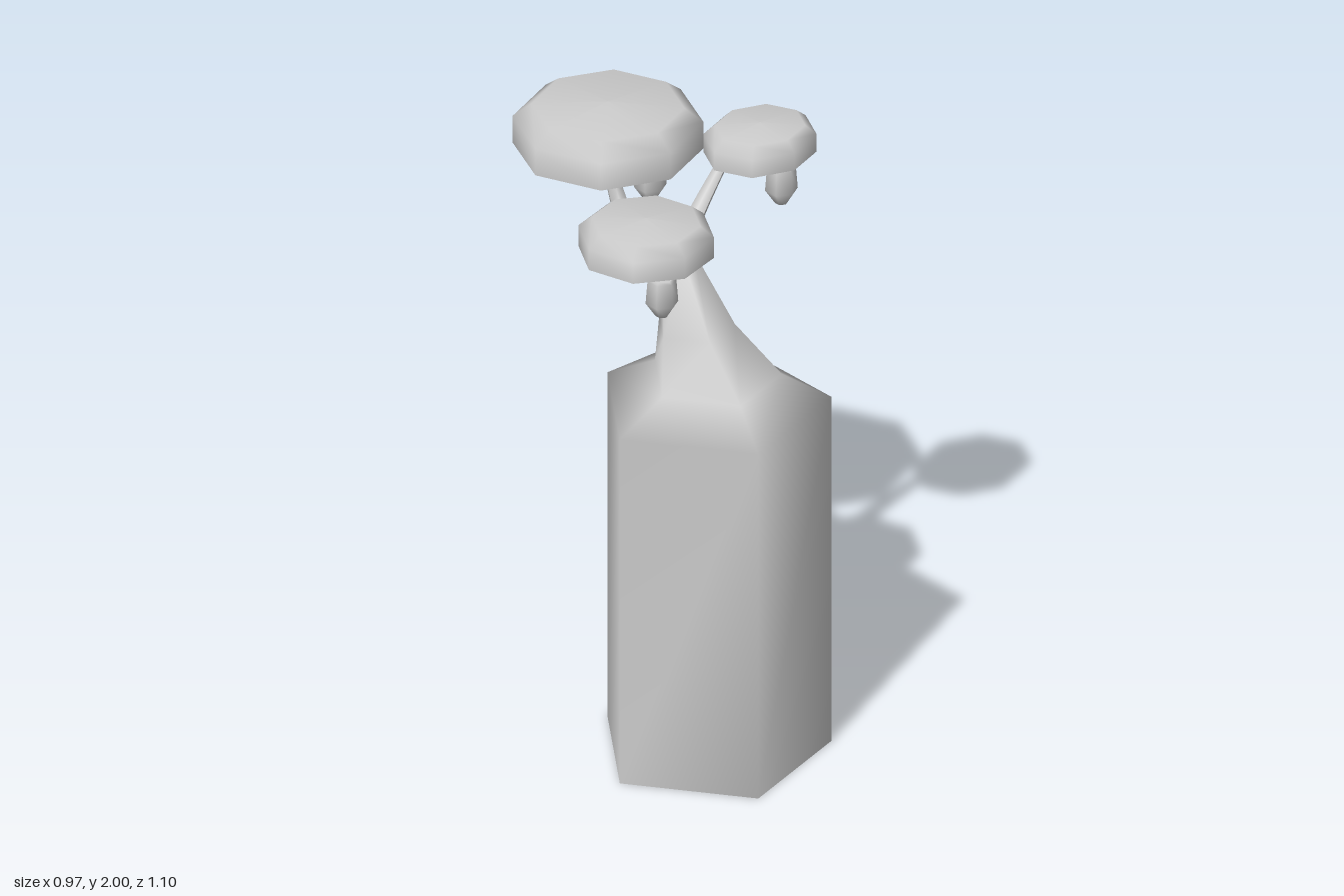
import * as THREE from 'three';

const material = new THREE.MeshStandardMaterial({ color: 0xcccccc, side: THREE.DoubleSide });

function addMesh(parent, name, geometry) {
  const mesh = new THREE.Mesh(geometry, material);
  mesh.name = name;
  parent.add(mesh);
  return mesh;
}

// Bottle-shaped trunk: rings of [y, centre x, centre z, radius], open at the base
function trunkGeometry() {
  const angles = [36, 108, 180, 252, 288, 324].map(THREE.MathUtils.degToRad);
  const rings = [
    [0, -0.028, 0.19, 0.362],
    [1.17, -0.028, 0.19, 0.362],
    [1.27, -0.04, 0.215, 0.205],
    [1.4, -0.03, 0.115, 0.122],
    [1.61, -0.02, 0.025, 0.05],
    [1.62, -0.02, 0.025, 0.002],
  ];
  const n = angles.length, positions = [], index = [];
  rings.forEach(([y, cx, cz, r], i) => {
    angles.forEach((a, j) => {
      positions.push(cx + r * Math.cos(a), y, cz + r * Math.sin(a));
      if (i === rings.length - 1) return;
      const p = i * n + j, q = i * n + (j + 1) % n;
      index.push(p, p + n, q, q, p + n, q + n);
    });
  });
  const geometry = new THREE.BufferGeometry();
  geometry.setAttribute('position', new THREE.Float32BufferAttribute(positions, 3));
  geometry.setIndex(index);
  geometry.computeVertexNormals();
  return geometry;
}

// Tube that narrows from r0 to r1 along its path
function branchGeometry(points, r0, r1) {
  const segments = 8, sides = 6;
  const curve = new THREE.CatmullRomCurve3(points.map(p => new THREE.Vector3(...p)));
  const geometry = new THREE.TubeGeometry(curve, segments, r0, sides);
  const pos = geometry.attributes.position, v = new THREE.Vector3();
  for (let i = 0; i < pos.count; i++) {
    const t = Math.floor(i / (sides + 1)) / segments;
    const centre = curve.getPointAt(t);
    v.fromBufferAttribute(pos, i).sub(centre).multiplyScalar(1 + t * (r1 / r0 - 1)).add(centre);
    pos.setXYZ(i, v.x, v.y, v.z);
  }
  geometry.computeVertexNormals();
  return geometry;
}

const lathe = (profile, sides) =>
  new THREE.LatheGeometry(profile.map(([r, y]) => new THREE.Vector2(r, y)), sides);

export function createModel() {
  const model = new THREE.Group();
  model.name = 'bottleTree';
  addMesh(model, 'trunk', trunkGeometry());

  const limbs = [
    {
      name: 'back', at: [-0.027, 1.85, -0.282], rx: 0.288, rz: 0.251 / 0.88, height: 0.15, turn: 0,
      path: [[-0.02, 1.55, 0.0], [-0.03, 1.57, -0.07], [-0.03, 1.61, -0.17], [-0.03, 1.68, -0.23], [-0.03, 1.91, -0.29]],
      r: 0.045, pod: [-0.035, 1.75, -0.08],
    },
    {
      name: 'right', at: [-0.277, 1.765, 0.18], rx: 0.207, rz: 0.207, height: 0.115, turn: -0.12,
      path: [[-0.01, 1.56, 0.02], [-0.07, 1.61, 0.05], [-0.14, 1.68, 0.09], [-0.23, 1.83, 0.16]],
      r: 0.036, pod: [-0.31, 1.6, 0.29],
    },
    {
      name: 'left', at: [0.303, 1.84, 0.032], rx: 0.181, rz: 0.157, height: 0.1, turn: 0,
      path: [[-0.02, 1.57, 0.0], [0.06, 1.62, -0.025], [0.13, 1.7, -0.035], [0.27, 1.89, -0.03]],
      r: 0.036, pod: [0.355, 1.66, 0.07],
    },
  ];

  for (const { name, at, rx, rz, height, turn, path, r, pod } of limbs) {
    addMesh(model, name + 'Branch', branchGeometry(path, r, 0.013));

    // Leaf crown: shallow eight-sided cap, open underneath
    const crown = addMesh(model, name + 'Crown',
      lathe([[1, 0], [1, 0.6], [0.8, 0.9], [0, 1]], 8));
    crown.position.set(...at);
    crown.scale.set(rx, height, rz);
    crown.rotation.y = turn;

    // Hanging fruit on a short stem
    const fruit = new THREE.Group();
    fruit.name = name + 'Fruit';
    fruit.position.set(...pod);
    addMesh(fruit, 'pod',
      lathe([[0, 0], [0.02, 0.005], [0.05, 0.05], [0.044, 0.125], [0.035, 0.132], [0, 0.132]], 6));
    addMesh(fruit, 'stem', new THREE.CylinderGeometry(0.013, 0.013, 0.11, 5)).position.y = 0.175;
    model.add(fruit);
  }
  return model;
}
